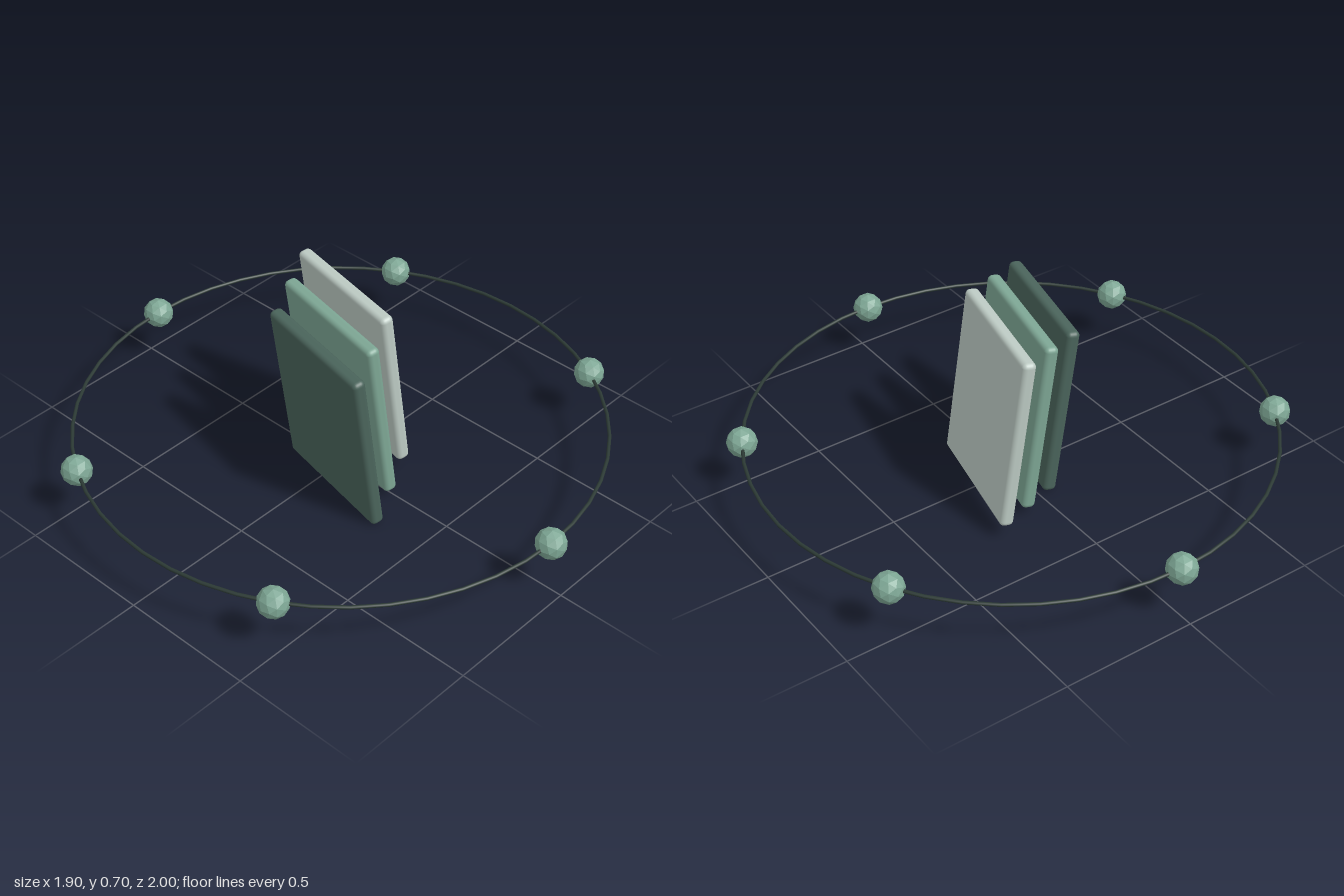
import * as THREE from 'three';
import { RoundedBoxGeometry } from 'three/addons/geometries/RoundedBoxGeometry.js';

const RING_RADIUS = 0.943;
const RING_HEIGHT = 0.198;

function material(name, color) {
  const m = new THREE.MeshStandardMaterial({ color });
  m.name = name;
  return m;
}

export function createModel() {
  const model = new THREE.Group();
  model.name = 'orbitingPanels';

  const darkGreen = material('darkGreen', 0x4a645b);
  const sageGreen = material('sageGreen', 0x7da694);
  const paleGreen = material('paleGreen', 0xbccac3);
  const ringDark = material('ringDark', 0x2c3a35);
  // Faceted beads share the sage colour
  sageGreen.flatShading = false;

  function add(name, geometry, mat, x, y, z) {
    const mesh = new THREE.Mesh(geometry, mat);
    mesh.name = name;
    mesh.position.set(x, y, z);
    model.add(mesh);
    return mesh;
  }

  // Three leaning slabs, stepped to the left, up and back
  const slab = new RoundedBoxGeometry(0.05, 0.654, 0.515, 3, 0.018);
  [['darkPanel', darkGreen], ['middlePanel', sageGreen], ['palePanel', paleGreen]]
    .forEach(([name, mat], i) => {
      const s = i - 1;
      const panel = add(name, slab, mat, 0.137 * s, 0.352 + 0.026 * s, -0.063 * s);
      panel.rotation.set(0, -0.218, 0.13, 'YXZ');
    });

  // Thin level ring around the slabs
  const ring = new THREE.TorusGeometry(RING_RADIUS, 0.0065, 8, 48);
  ring.rotateX(Math.PI / 2);
  add('ring', ring, ringDark, 0, RING_HEIGHT, 0);

  // Six beads spaced evenly on the ring; unshared vertices give flat facets
  const bead = new THREE.IcosahedronGeometry(0.056, 1).deleteAttribute('normal');
  bead.computeVertexNormals();
  for (let i = 0; i < 6; i++) {
    const a = (i * Math.PI) / 3;
    add(`bead${i + 1}`, bead, sageGreen,
      RING_RADIUS * Math.sin(a), RING_HEIGHT, RING_RADIUS * Math.cos(a));
  }

  return model;
}
